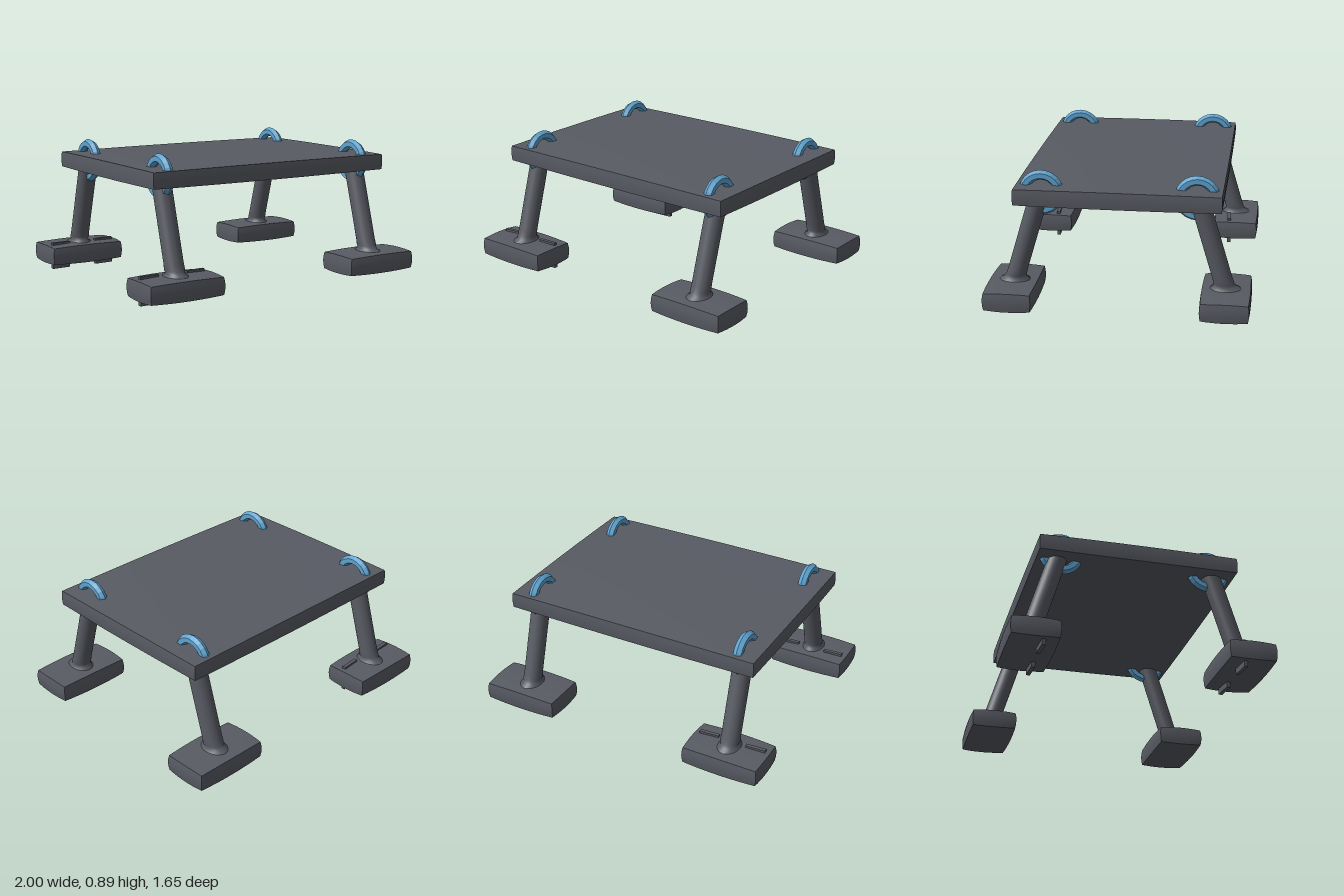
import * as THREE from 'three';

const charcoal = new THREE.MeshStandardMaterial({ color: 0x585b63 });
charcoal.name = 'charcoal';
const blue = new THREE.MeshStandardMaterial({ color: 0x5fa3d0, flatShading: true });
blue.name = 'blue';

// Box whose six faces swell outward by d at their centres
function pillowBox(w, h, l, d) {
  const geo = new THREE.BoxGeometry(w, h, l, 8, 4, 8);
  const p = geo.attributes.position;
  for (let i = 0; i < p.count; i++) {
    const x = p.getX(i), y = p.getY(i), z = p.getZ(i);
    const a = (2 * x) / w, b = (2 * y) / h, c = (2 * z) / l;
    const swell = (s, t) => d * (1 - 0.5 * (s * s + t * t));
    p.setXYZ(i, x + a * swell(b, c), y + b * swell(a, c), z + c * swell(a, b));
  }
  geo.computeVertexNormals();
  return geo;
}

// Round leg with a flared base, sheared so that it splays outward along +z
function splayedLeg() {
  const profile = [[0.1, 0.15], [0.092, 0.168], [0.07, 0.18], [0.063, 0.2], [0.061, 0.24], [0.061, 0.71]]
    .map(([r, y]) => new THREE.Vector2(r, y));
  const geo = new THREE.LatheGeometry(profile, 32);
  const p = geo.attributes.position;
  for (let i = 0; i < p.count; i++) {
    const y = p.getY(i);
    p.setX(i, p.getX(i) * (y < 0.19 ? 0.78 : 1));
    p.setZ(i, p.getZ(i) * 1.03 + 0.505 + (0.69 - y) * 0.3);
  }
  geo.computeVertexNormals();
  return geo;
}

export function createModel() {
  const model = new THREE.Group();
  model.name = 'table';
  const add = (parent, name, geo, mat, x = 0, y = 0, z = 0) => {
    const mesh = new THREE.Mesh(geo, mat);
    mesh.name = name;
    mesh.position.set(x, y, z);
    parent.add(mesh);
    return mesh;
  };

  add(model, 'tableTop', pillowBox(1.73, 0.1, 1.27, 0.007), charcoal, 0, 0.744, 0);

  const footGeo = pillowBox(0.5, 0.11, 0.29, 0.012);
  const legGeo = splayedLeg();
  const ringGeo = new THREE.TorusGeometry(0.111, 0.031, 6, 24).rotateY(Math.PI / 2);
  const barGeo = new THREE.BoxGeometry(0.13, 0.178, 0.024);

  for (const sx of [-1, 1]) {
    for (const sz of [-1, 1]) {
      const corner = new THREE.Group();
      corner.name = (sz > 0 ? 'front' : 'back') + (sx > 0 ? 'Left' : 'Right') + 'Corner';
      corner.position.x = sx * 0.737;
      model.add(corner);

      add(corner, 'foot', footGeo, charcoal, 0, 0.1, sz * 0.668);
      const leg = add(corner, 'leg', legGeo, charcoal);
      if (sz < 0) leg.rotation.y = Math.PI;
      add(corner, 'ring', ringGeo, blue, 0, 0.744, sz * 0.48);

      // Thin bars passing through the right-hand feet
      if (sx < 0) {
        for (const side of [-1, 1]) {
          const bar = add(corner, 'footBar', barGeo, charcoal, side * 0.16, 0.089, sz * 0.62);
          bar.rotation.y = 0.07;
        }
      }
    }
  }
  return model;
}
